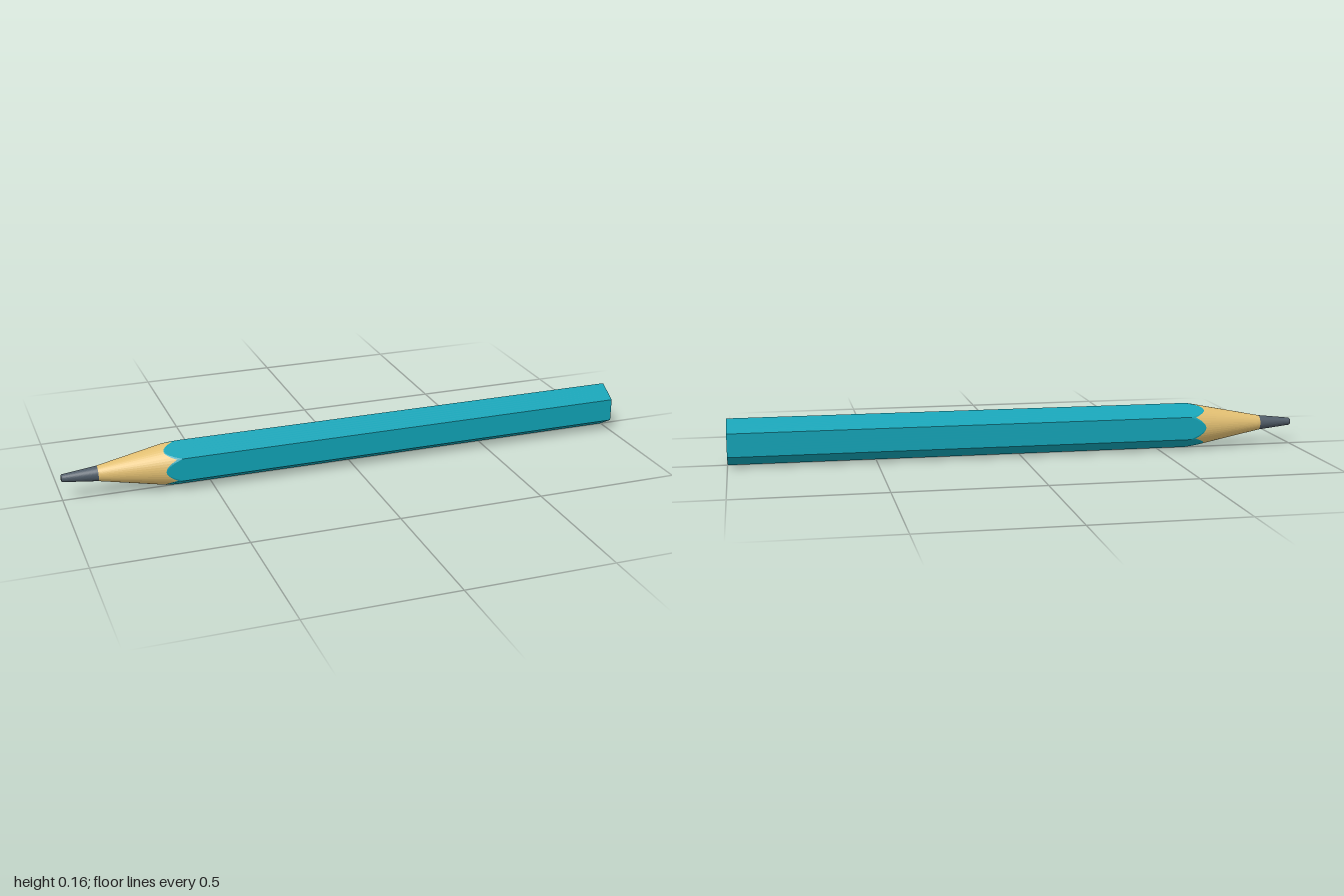
import * as THREE from 'three';

const SIDES = 48, CY = 0.08, CORNER = 0.08, FLAT = CORNER * Math.cos(Math.PI / 6);
const WOOD_X = -0.88, WOOD_R = 0.026, SLOPE = 0.197;

// offset of a step from the middle of its hexagon face, -30 to 30 degrees
const faceOffset = (i) => ((i % 8) - 4) / 4 * Math.PI / 6;
const hexRadius = (i) => FLAT / Math.cos(faceOffset(i));
const coneRadius = (x) => WOOD_R + SLOPE * (x - WOOD_X);
const coneX = (r) => WOOD_X + (r - WOOD_R) / SLOPE;

// ring kinds, each giving [x, radius] for step i around the axis
const round = (x, r) => () => [x, r];
const hex = (x, inset = 0) => (i) => [x, hexRadius(i) - inset];
const hexMeetsCone = (i) => [coneX(hexRadius(i)), hexRadius(i)];
const paintLine = (i) => {
  const t = faceOffset(i) / (Math.PI / 6);
  const x = -0.663 + 0.038 * t * t;
  return [x, coneRadius(x)];
};

// flat-faced skin through rings that run along the x axis
function loft(rings) {
  const pos = [];
  const point = (ring, i) => {
    const [x, r] = ring(i);
    const a = i / SIDES * Math.PI * 2;
    return [x, CY + r * Math.cos(a), r * Math.sin(a)];
  };
  for (let k = 0; k < rings.length - 1; k++) {
    for (let i = 0; i < SIDES; i++) {
      const a = point(rings[k], i), b = point(rings[k], i + 1);
      const c = point(rings[k + 1], i + 1), d = point(rings[k + 1], i);
      if (rings[k](i)[1] > 0) pos.push(...a, ...b, ...c);
      else { pos.push(...a, ...c, ...d); continue; }
      if (rings[k + 1](i)[1] > 0) pos.push(...a, ...c, ...d);
    }
  }
  const geo = new THREE.BufferGeometry();
  geo.setAttribute('position', new THREE.Float32BufferAttribute(pos, 3));
  geo.computeVertexNormals();
  return geo;
}

export function createModel() {
  const paint = new THREE.MeshStandardMaterial({ color: 0x10a2b5 });
  paint.name = 'teal paint';
  const wood = new THREE.MeshStandardMaterial({ color: 0xe2bf72 });
  wood.name = 'bare wood';
  const graphite = new THREE.MeshStandardMaterial({ color: 0x505c68 });
  graphite.name = 'graphite';

  const model = new THREE.Group();
  model.name = 'pencil';
  const add = (name, material, rings) => {
    const mesh = new THREE.Mesh(loft(rings), material);
    mesh.name = name;
    model.add(mesh);
  };

  // writing tip with a blunted end
  add('leadTip', graphite, [
    round(-1, 0), round(-1, 0.010), round(-0.996, 0.013), round(WOOD_X, WOOD_R),
  ]);
  // sharpened cone up to the scalloped paint edge
  add('sharpenedWood', wood, [round(WOOD_X, WOOD_R), paintLine]);
  // six-sided barrel with a small bevel at the flat end
  add('barrel', paint, [
    paintLine, hexMeetsCone, hex(0.997), hex(1, 0.002), round(1, 0.033),
  ]);
  // lead showing at the flat end
  add('leadCore', graphite, [round(1, 0.033), round(1, 0)]);

  return model;
}
